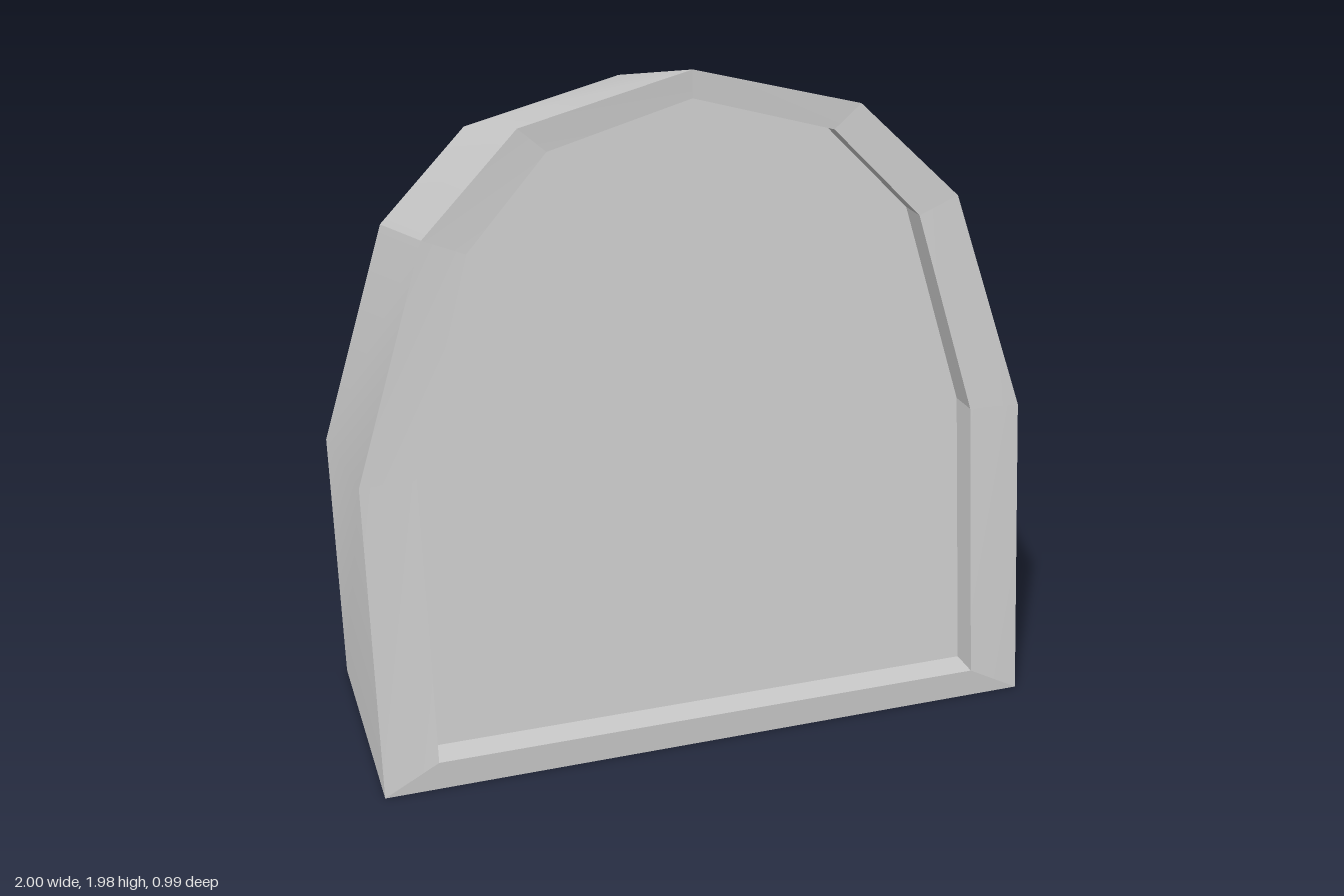
import * as THREE from 'three';

// Front outline and rim opening, counter-clockwise from lower corner: [x, y, z]
const OUTER = [
  [-1, 0, 0.495], [1, 0, 0.495], [1, 0.92, 0.377], [0.8, 1.57, 0.29], [0.5, 1.855, 0.25],
  [0, 1.98, 0.236], [-0.5, 1.855, 0.25], [-0.78, 1.58, 0.29], [-1, 0.92, 0.377],
];
const INNER = [
  [-0.84, 0.087, 0.495], [0.84, 0.087, 0.495], [0.84, 0.925, 0.377], [0.68, 1.52, 0.29], [0.42, 1.785, 0.25],
  [0, 1.9, 0.236], [-0.42, 1.785, 0.25], [-0.66, 1.53, 0.29], [-0.84, 0.925, 0.377],
];
// The body leans back and its rear outline sits lower, except at the flat base
const BACK = OUTER.map(([x, y, z]) => [x, y === 0 ? 0 : y - (y < 1 ? 0.155 : 0.163), z - (y === 0 ? 0.742 : 0.731)]);
const PANEL = INNER.map(([x, y, z]) => [x, y, z - 0.092]);

function geometryFrom(points, index) {
  const geo = new THREE.BufferGeometry();
  geo.setAttribute('position', new THREE.Float32BufferAttribute(points.flat(), 3));
  geo.setIndex(index);
  geo.computeVertexNormals();
  return geo;
}

// Band between two outlines along the listed corners, smooth within the band
function band(a, b, corners) {
  const points = [], index = [];
  corners.forEach((c, k) => {
    points.push(a[c], b[c]);
    if (k > 0) {
      const i = 2 * (k - 1);
      index.push(i, i + 1, i + 3, i, i + 3, i + 2);
    }
  });
  return geometryFrom(points, index);
}

// Convex face filled as a fan
function face(points, flip = false) {
  const index = [];
  for (let i = 1; i < points.length - 1; i++) index.push(0, ...(flip ? [i + 1, i] : [i, i + 1]));
  return geometryFrom(points, index);
}

export function createModel() {
  const model = new THREE.Group();
  model.name = 'leaningSlab';
  const stone = new THREE.MeshStandardMaterial({ color: 0xcccccc });
  stone.name = 'lightGreyStone';

  const add = (name, geo) => {
    const mesh = new THREE.Mesh(geo, stone);
    mesh.name = name;
    model.add(mesh);
  };

  // Outer shell
  add('base', band(OUTER, BACK, [0, 1]));
  add('leftSide', band(OUTER, BACK, [1, 2, 3]));
  add('archTop', band(OUTER, BACK, [3, 4, 5, 6, 7]));
  add('rightSide', band(OUTER, BACK, [7, 8, 0]));
  add('backFace', face(BACK, true));

  // Front rim and the walls of the recess, one flat facet per edge
  for (let i = 0; i < OUTER.length; i++) {
    const edge = [i, (i + 1) % OUTER.length];
    add('frontRim', band(INNER, OUTER, edge));
    add('recessWall', band(PANEL, INNER, edge));
  }

  // Recessed front panel
  add('frontPanel', face(PANEL));
  return model;
}
